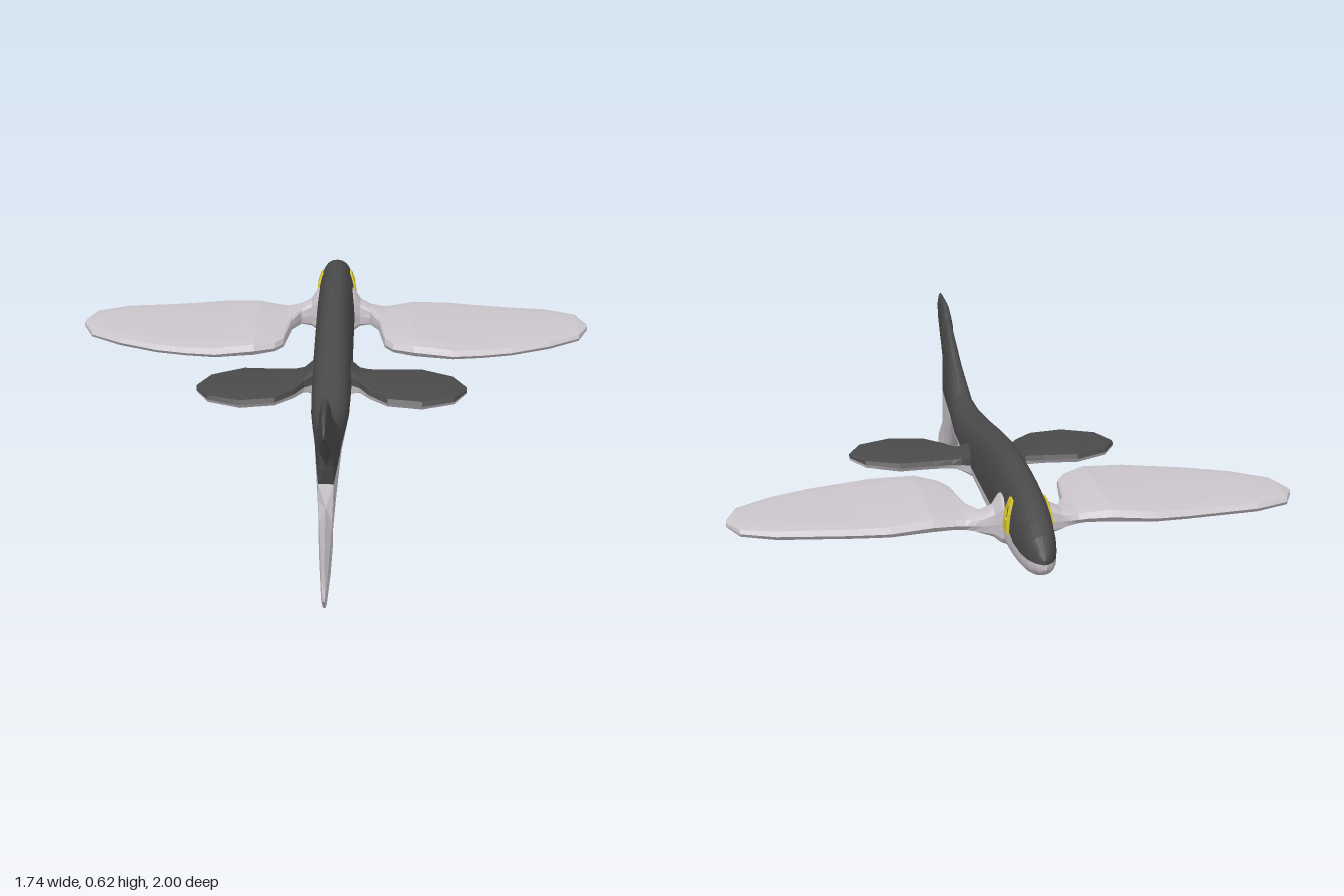
import * as THREE from 'three';

const flat = (name, color) => {
  const m = new THREE.MeshStandardMaterial({ color });
  m.name = name;
  m.flatShading = true;
  return m;
};

// Skin a list of equal-length closed rings and cap both ends
function loft(rings, flip = false) {
  const n = rings[0].length, last = (rings.length - 1) * n, index = [];
  const tri = (a, b, c) => (flip ? index.push(a, c, b) : index.push(a, b, c));
  for (let i = 0; i < rings.length - 1; i++) {
    for (let j = 0; j < n; j++) {
      const a = i * n + j, b = i * n + ((j + 1) % n);
      tri(a, b, a + n);
      tri(b, b + n, a + n);
    }
  }
  for (let j = 1; j < n - 1; j++) {
    tri(0, j + 1, j);
    tri(last, last + j, last + j + 1);
  }
  const g = new THREE.BufferGeometry();
  g.setAttribute('position', new THREE.Float32BufferAttribute(rings.flat(2), 3));
  g.setIndex(index);
  g.computeVertexNormals();
  return g;
}

const MID = 0.3175;
// z, half width, top, bottom, colour split height
const BODY = [
  [-1, 0.006, 0.33, 0.3, MID], [-0.985, 0.024, 0.355, 0.285, MID],
  [-0.95, 0.041, 0.386, 0.268, MID], [-0.9, 0.052, 0.414, 0.256, MID],
  [-0.82, 0.06, 0.446, 0.247, 0.322], [-0.76, 0.063, 0.46, 0.243, 0.34],
  [-0.69, 0.064, 0.469, 0.241, 0.362], [-0.63, 0.065, 0.475, 0.24, 0.36],
  [-0.56, 0.065, 0.479, 0.24, 0.322], [-0.45, 0.065, 0.48, 0.24, MID],
  [-0.3, 0.065, 0.472, 0.244, MID], [-0.1, 0.065, 0.445, 0.254, MID],
  [0.1, 0.063, 0.412, 0.268, MID], [0.25, 0.06, 0.388, 0.28, MID],
  [0.36, 0.052, 0.378, 0.283, MID], [0.47, 0.042, 0.39, 0.248, MID],
  [0.62, 0.033, 0.483, 0.152, MID], [0.765, 0.023, 0.58, 0.055, MID],
];
// z, half width, outer and inner height of a tail lobe above the middle line
const LOBE = [
  [0.785, 0.021, 0.277, 0.068], [0.83, 0.018, 0.304, 0.1],
  [0.95, 0.01, 0.312, 0.192], [1, 0.004, 0.264, 0.25],
];

const round = (t) => Math.pow(Math.max(0, 1 - Math.pow(Math.abs(t), 2.4)), 1 / 2.4);
const bodyWidth = ([, w, top, bottom], y) =>
  w * round(y > MID ? (y - MID) / (top - MID) : (MID - y) / (MID - bottom));

// Body half plus its tail lobe: sign +1 is the upper half, -1 the lower
function bodyHalf(sign) {
  const N = 7;
  const ring = (z, y0, y1, width) => {
    const side = [];
    for (let i = 0; i <= N; i++) {
      const y = THREE.MathUtils.lerp(y0, y1, Math.sin((i / N) * Math.PI / 2));
      side.push([width(y) * sign, y, z]);
    }
    return [...side, ...side.slice(0, -1).reverse().map(([x, y]) => [-x, y, z])];
  };
  const rings = BODY.map((s) => ring(s[0], s[4], sign > 0 ? s[2] : s[3], (y) => bodyWidth(s, y)));
  for (const [z, w, outer, inner] of LOBE) {
    const mid = (outer + inner) / 2, half = (outer - inner) / 2;
    rings.push(ring(z, MID + sign * inner, MID + sign * outer,
      (y) => w * round((Math.abs(y - MID) - mid) / half)));
  }
  return loft(rings);
}

// x, leading z, trailing z, top, bottom
const WING = [
  [0.04, -0.7, -0.55, 0.42, 0.25], [0.065, -0.69, -0.565, 0.4, 0.26],
  [0.085, -0.665, -0.58, 0.37, 0.275], [0.12, -0.66, -0.57, 0.35, 0.287],
  [0.15, -0.66, -0.49, 0.345, 0.295], [0.172, -0.66, -0.32, 0.344, 0.298],
  [0.2, -0.662, -0.27, 0.348, 0.3], [0.27, -0.677, -0.23, 0.358, 0.3],
  [0.4, -0.695, -0.21, 0.348, 0.299], [0.5, -0.682, -0.23, 0.343, 0.298],
  [0.6, -0.667, -0.258, 0.341, 0.298], [0.73, -0.65, -0.32, 0.34, 0.299],
  [0.835, -0.605, -0.395, 0.335, 0.303], [0.87, -0.52, -0.49, 0.326, 0.31],
];
const FIN = [
  [0.04, -0.13, 0.03, 0.39, 0.265], [0.065, -0.105, 0.035, 0.365, 0.278],
  [0.09, -0.085, 0.05, 0.348, 0.29], [0.12, -0.08, 0.11, 0.342, 0.297],
  [0.18, -0.083, 0.178, 0.34, 0.3], [0.29, -0.09, 0.2, 0.34, 0.299],
  [0.395, -0.033, 0.155, 0.336, 0.302], [0.437, 0.045, 0.075, 0.327, 0.31],
];

// Flattened oval sections along x, swept from angle a0 to a1
function blade(sections, side, a0, a1, steps) {
  const full = a1 - a0 > 6;
  const rings = sections.map(([x, front, back, top, bottom]) => {
    const ring = [];
    for (let i = 0; i < (full ? steps : steps + 1); i++) {
      const a = a0 + ((a1 - a0) * i) / steps, c = Math.cos(a);
      const y = Math.sign(c) * Math.pow(Math.abs(c), 0.45);
      ring.push([side * x, (top + bottom) / 2 + (y * (top - bottom)) / 2,
        (front + back) / 2 + (Math.sin(a) * (back - front)) / 2]);
    }
    return ring;
  });
  return loft(rings, side < 0);
}

// Thin tapered eye ring that follows the side of the head
function eyeRing(side) {
  const shape = new THREE.Shape([[-0.034, 0.332], [0.034, 0.332], [0.03, 0.39], [0.018, 0.43],
    [-0.018, 0.43], [-0.03, 0.39]].map((p) => new THREE.Vector2(...p)));
  shape.holes.push(new THREE.Path([[-0.014, 0.365], [-0.017, 0.39], [-0.01, 0.412],
    [0.01, 0.412], [0.017, 0.39], [0.014, 0.365]].map((p) => new THREE.Vector2(...p))));
  const g = new THREE.ExtrudeGeometry(shape, { depth: 0.006, bevelEnabled: false });
  g.rotateY(side * Math.PI / 2);
  const p = g.attributes.position, head = [0, 0.0635, 0.463, 0.242];
  for (let i = 0; i < p.count; i++) {
    p.setX(i, p.getX(i) + side * (bodyWidth(head, p.getY(i)) + 0.001));
  }
  g.translate(0, 0, -0.74);
  g.computeVertexNormals();
  return g;
}

export function createModel() {
  const dark = flat('charcoal', 0x4a4a4a);
  const light = flat('pale grey', 0xcbc5cc);
  const yellow = flat('yellow', 0xd8c62a);
  const model = new THREE.Group();
  model.name = 'wingedSwimmer';
  const add = (name, geometry, material) => {
    const mesh = new THREE.Mesh(geometry, material);
    mesh.name = name;
    model.add(mesh);
  };

  // Body and forked tail
  add('upperBodyAndTail', bodyHalf(1), dark);
  add('lowerBodyAndTail', bodyHalf(-1), light);

  // Mirrored wings, small fins and eyes
  const H = Math.PI / 2;
  for (const [side, label] of [[1, 'left'], [-1, 'right']]) {
    add(label + 'Wing', blade(WING, side, -H, 3 * H, 16), light);
    add(label + 'FinTop', blade(FIN, side, -H, H, 8), dark);
    add(label + 'FinUnderside', blade(FIN, side, H, 3 * H, 8), light);
    add(label + 'EyeRing', eyeRing(side), yellow);
  }
  return model;
}
